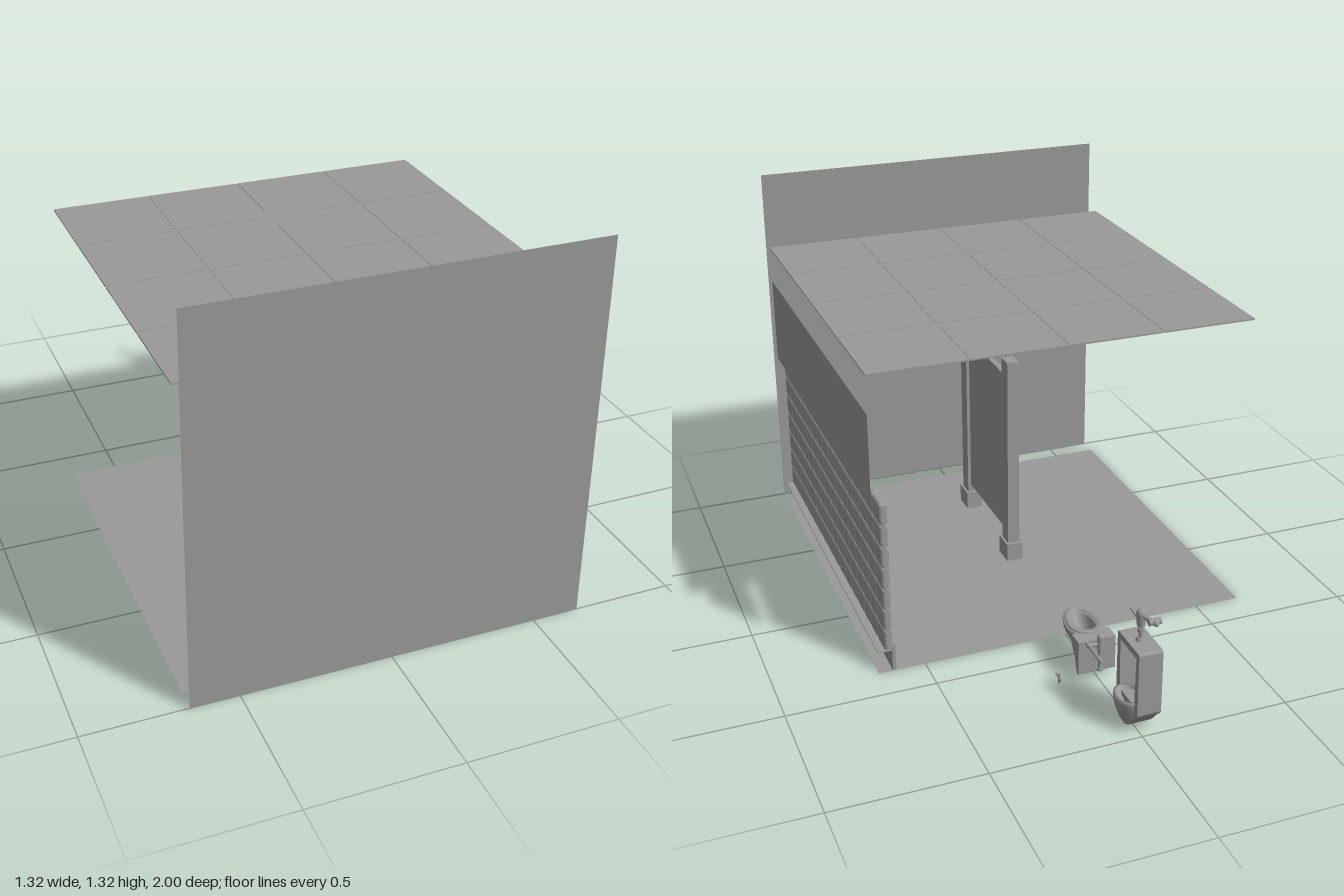
import * as THREE from 'three';
import { RoundedBoxGeometry } from 'three/addons/geometries/RoundedBoxGeometry.js';

export function createModel() {
  const root = new THREE.Group();
  const grey = new THREE.MeshStandardMaterial({ color: 0x999999, side: THREE.DoubleSide });
  grey.name = 'plain grey';

  const add = (parent, name, geometry, x = 0, y = 0, z = 0) => {
    const m = new THREE.Mesh(geometry, grey);
    m.name = name;
    m.position.set(x, y, z);
    parent.add(m);
    return m;
  };
  const group = (name, parent = root) => {
    const g = new THREE.Group();
    g.name = name;
    parent.add(g);
    return g;
  };
  // Box given by its low and high corners
  const box = (parent, name, [x0, y0, z0], [x1, y1, z1]) =>
    add(parent, name, new THREE.BoxGeometry(x1 - x0, y1 - y0, z1 - z0),
      (x0 + x1) / 2, (y0 + y1) / 2, (z0 + z1) / 2);
  // Round bar between two points
  const rod = (parent, name, a, b, r0, r1 = r0) => {
    const p = new THREE.Vector3(...a), q = new THREE.Vector3(...b), d = q.clone().sub(p);
    const m = add(parent, name, new THREE.CylinderGeometry(r1, r0, d.length(), 14));
    m.position.copy(p).add(q).multiplyScalar(0.5);
    m.quaternion.setFromUnitVectors(new THREE.Vector3(0, 1, 0), d.normalize());
    return m;
  };
  // Skin over egg-shaped rings: [y, centre z, half width, front reach, back reach]
  const loft = (rings, n = 32) => {
    const pos = [], idx = [];
    rings.forEach(([y, cz, rx, front, back], i) => {
      for (let j = 0; j < n; j++) {
        const t = (j / n) * Math.PI * 2, s = Math.sin(t);
        pos.push(rx * Math.cos(t), y, cz + s * (s > 0 ? front : back));
        if (i < rings.length - 1) {
          const a = i * n + j, b = i * n + ((j + 1) % n);
          idx.push(a, a + n, b, b, a + n, b + n);
        }
      }
    });
    const g = new THREE.BufferGeometry();
    g.setAttribute('position', new THREE.Float32BufferAttribute(pos, 3));
    g.setIndex(idx);
    g.computeVertexNormals();
    return g;
  };

  const W = 0.66, Z0 = -0.38, Z1 = 0.93, L = Z1 - Z0, ZC = (Z0 + Z1) / 2;

  // Room sheets
  add(root, 'frontWall', new THREE.PlaneGeometry(2 * W, 1.32), 0, 0.66, 1);
  add(root, 'floor', new THREE.PlaneGeometry(2 * W, L).rotateX(-Math.PI / 2), 0, 0.001, ZC);
  add(root, 'upperSideWall', new THREE.PlaneGeometry(L, 0.31).rotateY(Math.PI / 2), W, 0.775, ZC);

  // Ceiling of 4 x 4 panels with sunken bars in the seams
  const ceiling = group('ceiling');
  const px = (2 * W) / 4, pz = L / 4, gap = 0.009;
  for (let i = 0; i < 4; i++) {
    for (let j = 0; j < 4; j++) {
      add(ceiling, 'ceilingPanel',
        new THREE.BoxGeometry(px - (i % 3 ? gap : gap / 2), 0.005, pz - (j % 3 ? gap : gap / 2)),
        -W + (i + 0.5) * px + (i === 0 ? -gap / 4 : i === 3 ? gap / 4 : 0), 1.06,
        Z0 + (j + 0.5) * pz + (j === 0 ? -gap / 4 : j === 3 ? gap / 4 : 0));
    }
  }
  for (let i = 1; i < 4; i++) {
    add(ceiling, 'ceilingBar', new THREE.BoxGeometry(gap, 0.002, L), -W + i * px, 1.06, ZC);
    add(ceiling, 'ceilingBar', new THREE.BoxGeometry(2 * W, 0.002, gap), 0, 1.06, Z0 + i * pz);
  }

  // Pillow tiles on the side wall
  const tiles = group('wallTiles');
  const cols = 16, rows = 7, tz = L / cols, ty = 0.54 / rows;
  const tile = new RoundedBoxGeometry(0.03, ty, tz, 2, 0.011);
  for (let r = 0; r < rows; r++) {
    for (let c = 0; c < cols; c++) {
      add(tiles, 'tile', tile, 0.622, 0.08 + (r + 0.5) * ty, Z0 + (c + 0.5) * tz);
    }
  }
  box(tiles, 'tileBacking', [0.616, 0.085, Z0], [0.628, 0.605, Z1]);

  // Baseboard with its ledge
  box(root, 'baseboard', [0.6, 0.002, Z0], [0.612, 0.1, Z1]);
  box(root, 'baseLedge', [0.605, 0.078, Z0], [W, 0.082, Z1]);

  // Free-standing partition
  const partition = group('partition');
  for (const z of [0.2, 0.65]) {
    box(partition, 'post', [-0.042, 0.04, z - 0.03], [0.002, 0.79, z + 0.03]);
    box(partition, 'postFoot', [-0.05, 0.002, z - 0.042], [0.01, 0.07, z + 0.042]);
  }
  box(partition, 'partitionPanel', [-0.03, 0.1, 0.23], [-0.01, 0.72, 0.62]);

  // Wall-hung toilet
  const toilet = group('toilet');
  add(toilet, 'bowl', loft([
    [0.045, -0.565, 0.001, 0.001, 0.001], [0.048, -0.565, 0.018, 0.02, 0.025],
    [0.065, -0.56, 0.035, 0.045, 0.045], [0.085, -0.555, 0.048, 0.08, 0.055],
    [0.105, -0.55, 0.058, 0.108, 0.06], [0.12, -0.55, 0.063, 0.118, 0.065],
    [0.135, -0.55, 0.065, 0.12, 0.065], [0.141, -0.55, 0.062, 0.116, 0.062],
    [0.142, -0.545, 0.036, 0.085, 0.045], [0.134, -0.545, 0.034, 0.082, 0.043],
    [0.105, -0.55, 0.026, 0.055, 0.035], [0.075, -0.555, 0.014, 0.02, 0.02],
    [0.072, -0.555, 0.001, 0.001, 0.001],
  ]));
  add(toilet, 'seat', loft([
    [0.138, -0.545, 0.037, 0.086, 0.046], [0.138, -0.55, 0.058, 0.108, 0.058],
    [0.144, -0.55, 0.06, 0.11, 0.06], [0.148, -0.55, 0.055, 0.105, 0.055],
    [0.148, -0.545, 0.038, 0.087, 0.047], [0.138, -0.545, 0.037, 0.086, 0.046],
  ]));
  const flange = new THREE.Shape([[-0.59, 0.14], [-0.648, 0.14], [-0.648, 0.02], [-0.635, 0.02],
    [-0.615, 0.075], [-0.59, 0.1]].map(([z, y]) => new THREE.Vector2(-z, y)));
  add(toilet, 'mount', new THREE.ExtrudeGeometry(flange, { depth: 0.13, bevelEnabled: false })
    .rotateY(Math.PI / 2), -0.065);
  rod(toilet, 'trapway', [0, 0.065, -0.55], [0, 0.06, -0.64], 0.022, 0.026);

  // Toilet flush valve
  const valve = group('toiletValve', toilet);
  rod(valve, 'flushPipe', [0, 0.04, -0.672], [0, 0.14, -0.672], 0.007);
  rod(valve, 'pipeCollar', [0, 0.04, -0.672], [0, 0.048, -0.672], 0.011);
  rod(valve, 'valveBody', [0, 0.125, -0.672], [0, 0.165, -0.672], 0.012);
  add(valve, 'valveCap', new THREE.SphereGeometry(0.011, 14, 8), 0, 0.164, -0.672);
  rod(valve, 'crossPipe', [0, 0.14, -0.672], [0.04, 0.14, -0.672], 0.006);
  rod(valve, 'supplyPipe', [0.04, 0.14, -0.655], [0.04, 0.14, -0.78], 0.006);
  add(valve, 'pipeElbow', new THREE.SphereGeometry(0.009, 12, 8), 0.04, 0.14, -0.672);

  // Small loose lever
  const lever = group('smallLever');
  rod(lever, 'leverArm', [0.13, 0.022, -0.655], [0.13, 0.025, -0.62], 0.003, 0.004);
  rod(lever, 'leverStem', [0.13, 0.002, -0.645], [0.13, 0.04, -0.645], 0.004);
  add(lever, 'leverKnob', new THREE.SphereGeometry(0.007, 10, 8), 0.13, 0.024, -0.654);

  // Urinal, shaped facing +z and turned to face +x
  const urinal = group('urinal');
  urinal.position.set(0, 0, -0.922);
  urinal.rotation.y = Math.PI / 2;
  const outline = new THREE.Shape();
  outline.moveTo(-0.068, 0.298);
  outline.lineTo(0.068, 0.298);
  outline.quadraticCurveTo(0.078, 0.298, 0.078, 0.288);
  outline.lineTo(0.078, 0.08);
  outline.quadraticCurveTo(0.074, 0.066, 0.06, 0.06);
  outline.lineTo(0.015, 0.008);
  outline.quadraticCurveTo(0, 0, -0.015, 0.008);
  outline.lineTo(-0.06, 0.06);
  outline.quadraticCurveTo(-0.074, 0.066, -0.078, 0.08);
  outline.lineTo(-0.078, 0.288);
  outline.quadraticCurveTo(-0.078, 0.298, -0.068, 0.298);
  const backShape = outline.clone();
  outline.holes.push(new THREE.Path([[-0.058, 0.275], [-0.053, 0.1], [0.053, 0.1], [0.058, 0.275]]
    .map(([x, y]) => new THREE.Vector2(x, y))));
  add(urinal, 'urinalBody', new THREE.ExtrudeGeometry(outline,
    { depth: 0.065, bevelEnabled: false }), 0, 0, -0.045);
  add(urinal, 'urinalBack', new THREE.ExtrudeGeometry(backShape,
    { depth: 0.015, bevelEnabled: false }), 0, 0, -0.06);
  add(urinal, 'urinalLip', loft([
    [0.004, 0.015, 0.001, 0.001, 0.001], [0.007, 0.015, 0.014, 0.012, 0.01],
    [0.035, 0.015, 0.032, 0.028, 0.02], [0.07, 0.015, 0.05, 0.04, 0.03],
    [0.1, 0.015, 0.058, 0.045, 0.04], [0.113, 0.015, 0.057, 0.044, 0.04],
    [0.112, 0.015, 0.049, 0.036, 0.04], [0.085, 0.01, 0.04, 0.028, 0.035],
    [0.065, 0.005, 0.001, 0.001, 0.001],
  ]));

  // Urinal flush valve
  const flush = group('urinalValve', urinal);
  rod(flush, 'flushCollar', [0, 0.297, -0.02], [0, 0.31, -0.02], 0.017, 0.011);
  rod(flush, 'flushPipe', [0, 0.3, -0.02], [0, 0.36, -0.02], 0.007);
  rod(flush, 'flushNut', [0, 0.328, -0.02], [0, 0.342, -0.02], 0.011);
  rod(flush, 'flushBody', [0, 0.35, -0.02], [0, 0.395, -0.02], 0.013, 0.017);
  add(flush, 'flushCap', new THREE.SphereGeometry(0.016, 14, 8), 0, 0.394, -0.02);
  rod(flush, 'flushHandle', [-0.01, 0.365, -0.02], [-0.078, 0.366, -0.02], 0.006, 0.003);
  rod(flush, 'sidePipe', [0, 0.385, -0.02], [0.05, 0.388, -0.035], 0.007);
  rod(flush, 'stopValve', [0.05, 0.388, -0.02], [0.05, 0.388, -0.06], 0.011);
  add(flush, 'stopKnob', new THREE.SphereGeometry(0.01, 12, 8), 0.062, 0.388, -0.04);
  return root;
}
